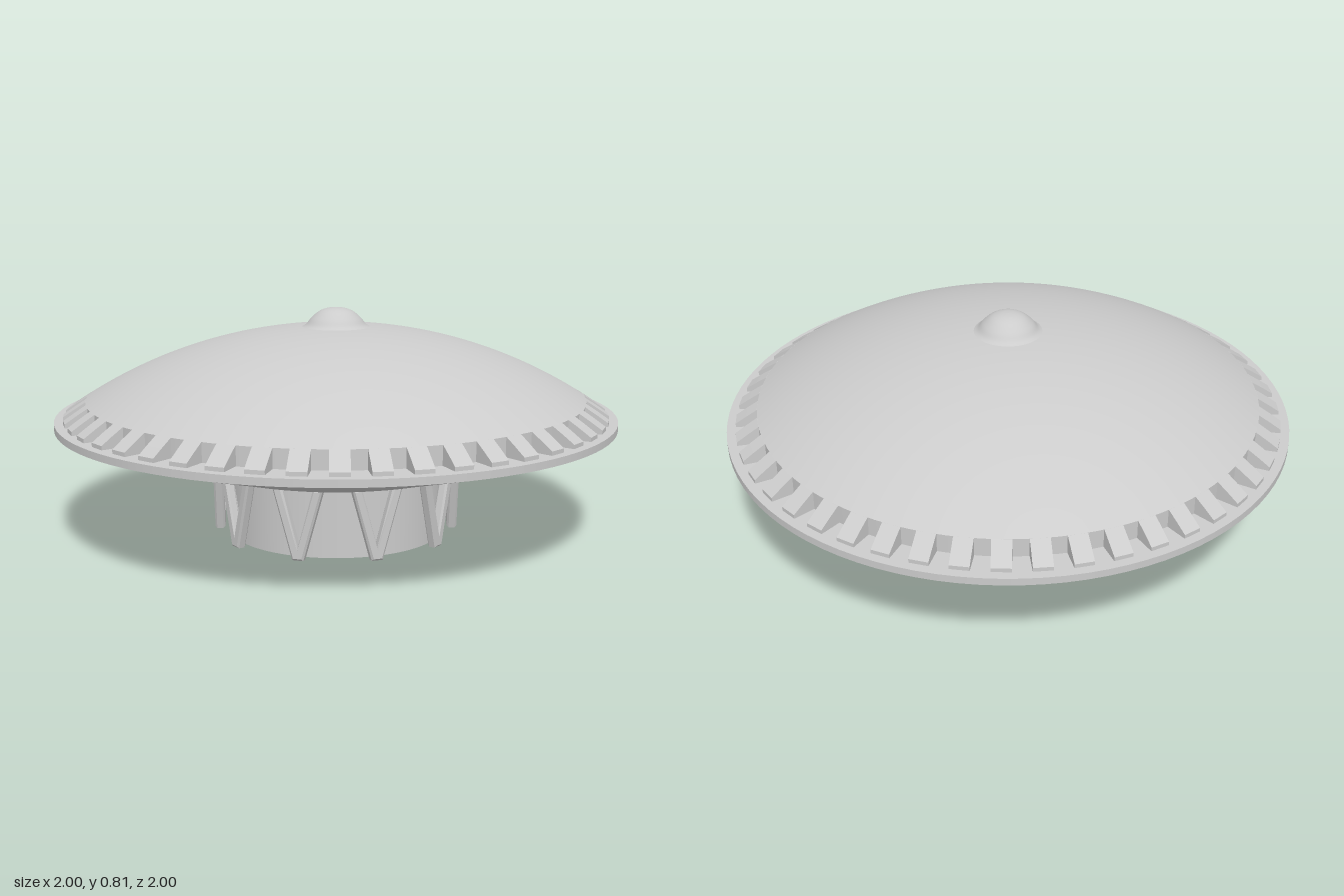
import * as THREE from 'three';

const V2 = (x, y) => new THREE.Vector2(x, y);

export function createModel() {
  const model = new THREE.Group();
  const material = new THREE.MeshStandardMaterial({ color: 0xcccccc });

  function add(name, geometry, parent = model) {
    const mesh = new THREE.Mesh(geometry, material);
    mesh.name = name;
    parent.add(mesh);
    return mesh;
  }
  // Profiles run from the bottom, outwards and back in at the top
  const lathe = (name, points) =>
    add(name, new THREE.LatheGeometry(points.map(([r, y]) => V2(r, y)), 96));

  // Repeats one geometry evenly around the y axis
  function ring(name, geometry, count, offset) {
    const group = new THREE.Group();
    group.name = name + 's';
    for (let i = 0; i < count; i++) {
      add(name, geometry, group).rotation.y = offset + (i / count) * Math.PI * 2;
    }
    model.add(group);
  }

  // Upper dome: a spherical cap
  const R = 1.7, apex = 0.746, wallRadius = 0.89;
  const domeY = (r) => apex - R + Math.sqrt(R * R - r * r);
  const cap = [];
  for (let i = 0; i <= 24; i++) {
    const r = wallRadius * (1 - i / 24);
    cap.push([r, domeY(r)]);
  }
  lathe('dome', cap);
  lathe('domeWall', [[wallRadius, 0.43], [wallRadius, domeY(wallRadius)]]);

  // Thin flat rim
  lathe('rimTop', [[1, 0.43], [0.87, 0.43]]);
  lathe('rimEdge', [[1, 0.405], [1, 0.43]]);

  // Shallow underside
  lathe('underside', [[0.43, 0.245], [0.47, 0.252], [0.54, 0.271], [0.64, 0.301], [0.8, 0.347], [1, 0.405]]);
  lathe('undersideCentre', [[0, 0.245], [0.43, 0.245]]);

  // Teeth continuing the dome slope onto the rim
  const toothWidth = 0.064;
  const profile = new THREE.Shape([
    V2(0.87, 0.425), V2(0.968, 0.425), V2(0.968, domeY(0.968)),
    V2(0.93, domeY(0.93)), V2(wallRadius, domeY(wallRadius)), V2(0.87, domeY(wallRadius)),
  ]);
  const tooth = new THREE.ExtrudeGeometry(profile, { depth: toothWidth, bevelEnabled: false });
  tooth.translate(0, 0, -toothWidth / 2);
  ring('tooth', tooth, 48, 0);

  // Top knob with a flared foot
  const knob = new THREE.SplineCurve([
    V2(0.13, 0.737), V2(0.108, 0.749), V2(0.088, 0.773),
    V2(0.06, 0.796), V2(0.03, 0.807), V2(0, 0.81),
  ]);
  lathe('knob', knob.getPoints(24).map((p) => [Math.max(0, p.x), p.y]));

  // Round base drum
  const drum = new THREE.CylinderGeometry(0.388, 0.388, 0.25, 96);
  drum.translate(0, 0.125, 0);
  add('baseDrum', drum);

  // V-shaped struts standing just off the drum
  const vee = new THREE.Shape([
    V2(-0.02, 0), V2(0.02, 0), V2(0.09, 0.252), V2(0.055, 0.252),
    V2(0, 0.045), V2(-0.055, 0.252), V2(-0.09, 0.252),
  ]);
  const bevel = 0.007;
  const strut = new THREE.ExtrudeGeometry(vee, {
    depth: 0.022, bevelThickness: bevel, bevelSize: bevel, bevelOffset: -bevel, bevelSegments: 1,
  });
  strut.translate(0, 0, 0.413);
  ring('veeStrut', strut, 10, Math.PI / 10);

  return model;
}
